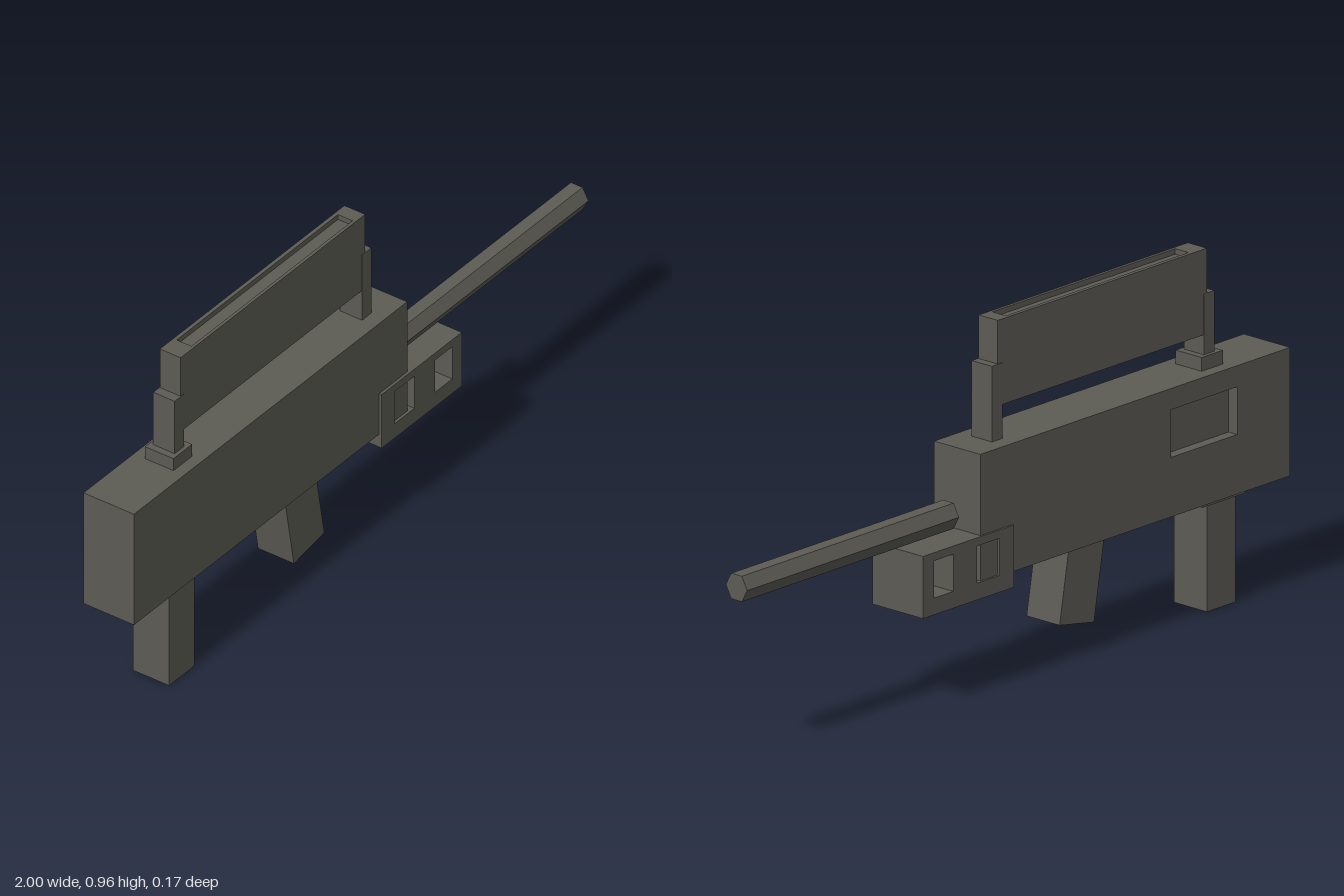
import * as THREE from 'three';

const material = new THREE.MeshStandardMaterial({ color: 0x5c5b54, flatShading: true });

function add(parent, name, geometry) {
  const mesh = new THREE.Mesh(geometry, material);
  mesh.name = name;
  parent.add(mesh);
  return mesh;
}

// Box given by its limits on each axis
function block(parent, name, [x0, x1], [y0, y1], [z0, z1]) {
  const mesh = add(parent, name, new THREE.BoxGeometry(x1 - x0, y1 - y0, z1 - z0));
  mesh.position.set((x0 + x1) / 2, (y0 + y1) / 2, (z0 + z1) / 2);
  return mesh;
}

function outline(Type, [x0, x1], [y0, y1]) {
  const path = new Type();
  path.moveTo(x0, y0);
  path.lineTo(x1, y0);
  path.lineTo(x1, y1);
  path.lineTo(x0, y1);
  path.closePath();
  return path;
}

// Rectangular slab pierced by rectangular holes, extruded along +z
function frame(xs, ys, holes, depth) {
  const shape = outline(THREE.Shape, xs, ys);
  for (const [hx, hy] of holes) shape.holes.push(outline(THREE.Path, hx, hy));
  return new THREE.ExtrudeGeometry(shape, { depth, bevelEnabled: false });
}

export function createModel() {
  const model = new THREE.Group();

  // Main body with a shallow pocket in its back face
  const body = new THREE.Group();
  body.name = 'body';
  model.add(body);
  const bodyX = [-1, 0.17], bodyY = [0.3, 0.645], pocketDepth = 0.03;
  block(body, 'bodyCore', bodyX, bodyY, [-0.081 + pocketDepth, 0.079]);
  add(body, 'pocketedBackWall', frame(bodyX, bodyY, [[[-0.8, -0.55], [0.46, 0.588]]], pocketDepth))
    .position.z = -0.081;

  // Front block with two square windows right through it
  add(model, 'frontBlock', frame([0.05, 0.393], [0.26, 0.427],
    [[[0.105, 0.19], [0.305, 0.405]], [[0.278, 0.352], [0.305, 0.405]]], 0.174)).position.z = -0.087;

  // Six-sided barrel
  const barrelGeometry = new THREE.CylinderGeometry(0.037, 0.037, 0.8, 6);
  barrelGeometry.rotateZ(-Math.PI / 2).scale(1, 1.07, 1);
  add(model, 'barrel', barrelGeometry).position.set(0.6, 0.473, 0.002);

  // Rear grip and its mounting collar
  block(model, 'rearGrip', [-0.82, -0.712], [0, 0.3], [-0.057, 0.057]);
  block(model, 'rearGripCollar', [-0.85, -0.685], [0.288, 0.305], [-0.066, 0.066]);

  // Slanted forward grip
  const grip = block(model, 'forwardGrip', [-0.318, -0.186], [0.09, 0.35], [-0.057, 0.057]);
  grip.rotation.z = 0.175;
  grip.position.set(-0.243, 0.217, 0);

  // Raised top rail, its upper face hollowed into a narrow channel
  const rail = new THREE.Group();
  rail.name = 'topRail';
  model.add(rail);
  const railX = [-0.738, 0.052];
  block(rail, 'railPlate', railX, [0.735, 0.95], [-0.033, 0.033]);
  const rim = frame(railX, [-0.033, 0.033], [[[-0.68, 0.01], [-0.024, 0.022]]], 0.015);
  rim.rotateX(-Math.PI / 2);
  add(rail, 'railRim', rim).position.y = 0.95;

  // Posts carrying the rail
  block(model, 'rearPost', [-0.765, -0.725], [0.64, 0.845], [-0.034, 0.034]);
  block(model, 'rearPostBase', [-0.785, -0.705], [0.64, 0.682], [-0.045, 0.045]);
  block(model, 'frontPost', [0.036, 0.076], [0.64, 0.848], [-0.035, 0.035]);

  return model;
}
